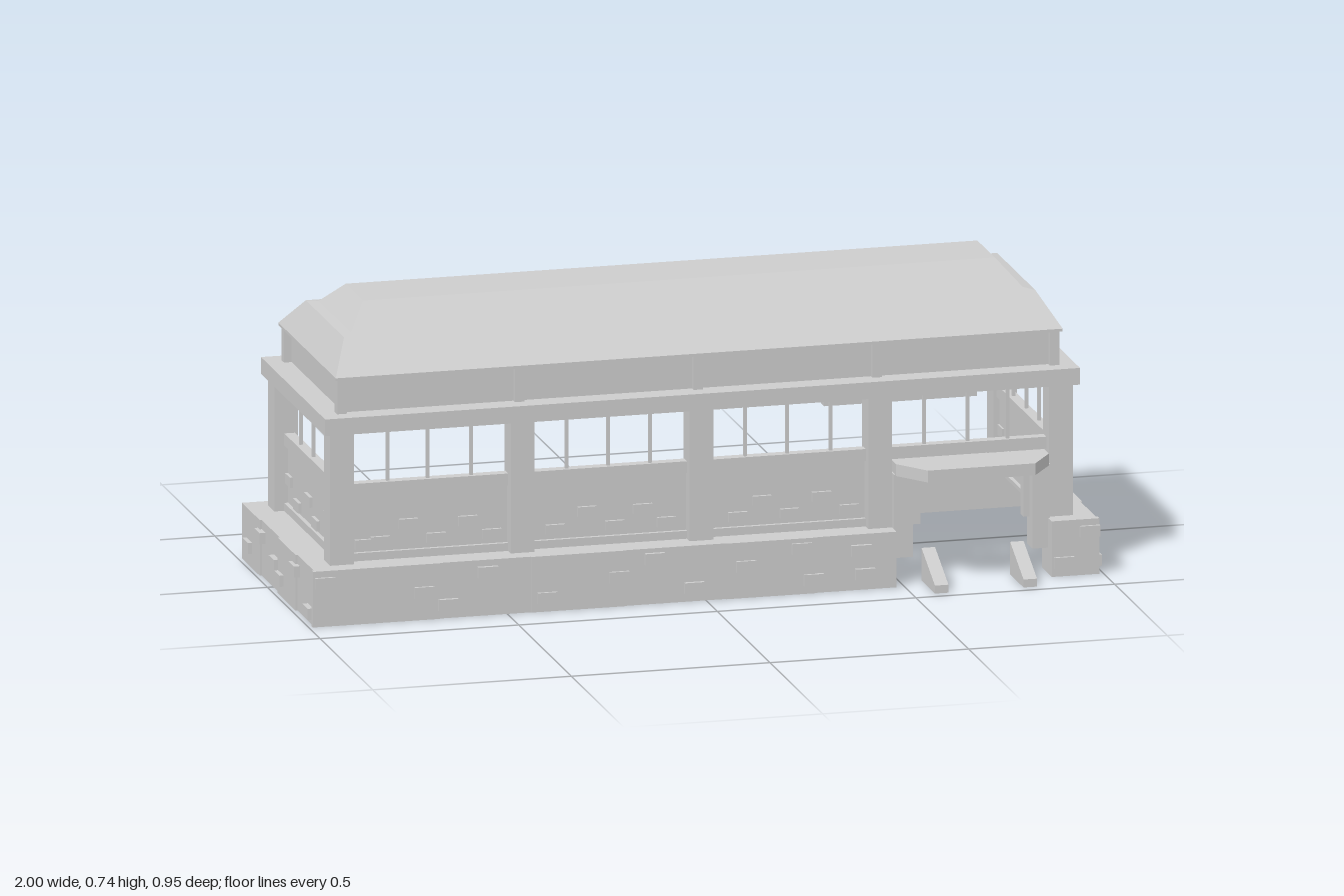
import * as THREE from 'three';

const stone = new THREE.MeshStandardMaterial({ color: 0xcccccc, side: THREE.DoubleSide });
stone.name = 'pale grey';

export function createModel() {
  const model = new THREE.Group();
  model.name = 'pavilion';

  const add = (name, geo, parent = model) => {
    const mesh = new THREE.Mesh(geo, stone);
    mesh.name = name;
    parent.add(mesh);
    return mesh;
  };
  // Box given by its limits on each axis
  const box = (name, x0, x1, y0, y1, z0, z1, parent) => {
    const geo = new THREE.BoxGeometry(x1 - x0, y1 - y0, z1 - z0);
    geo.translate((x0 + x1) / 2, (y0 + y1) / 2, (z0 + z1) / 2);
    return add(name, geo, parent);
  };
  // Hollow shell through rectangular rings [halfX, y, zBack, zFront], closed at the top
  const shell = (name, rings) => {
    const corners = rings.map(([hx, y, zb, zf]) => [[-hx, y, zf], [hx, y, zf], [hx, y, zb], [-hx, y, zb]]);
    const pos = [];
    const quad = (a, b, c, d) => pos.push(...a, ...b, ...c, ...a, ...c, ...d);
    for (let i = 0; i + 1 < corners.length; i++) {
      for (let k = 0; k < 4; k++) {
        const n = (k + 1) % 4;
        quad(corners[i][k], corners[i][n], corners[i + 1][n], corners[i + 1][k]);
      }
    }
    quad(...corners[corners.length - 1]);
    const geo = new THREE.BufferGeometry();
    geo.setAttribute('position', new THREE.Float32BufferAttribute(pos, 3));
    geo.computeVertexNormals();
    return add(name, geo);
  };

  // Base: thin outer walls with a ledge, open underneath
  const base = new THREE.Group();
  base.name = 'base';
  model.add(base);
  const frontSeams = [-0.99, -0.67, -0.44, -0.2, 0.05, 0.28, 0.48];
  for (let i = 0; i < 6; i++) {
    box('frontBaseStone', frontSeams[i], frontSeams[i + 1], 0, 0.14, 0.38, 0.395 - (i % 2) * 0.003, base);
  }
  box('frontBaseCorner', 0.87, 0.99, 0, 0.14, 0.38, 0.395, base);
  box('frontLedge', -0.985, 0.48, 0.13, 0.14, 0.29, 0.39, base);
  box('frontCornerLedge', 0.87, 0.985, 0.13, 0.14, 0.29, 0.39, base);
  box('doorReturn', 0.47, 0.48, 0, 0.14, 0.3, 0.39, base);
  box('doorReturn', 0.87, 0.88, 0, 0.14, 0.3, 0.39, base);
  box('backBaseWall', -0.99, 0.99, 0, 0.14, -0.28, -0.27, base);
  box('backLedge', -0.985, 0.985, 0.13, 0.14, -0.275, -0.19, base);
  const endSeams = [-0.278, -0.11, 0.06, 0.23, 0.394];
  for (const s of [-1, 1]) {
    for (let i = 0; i < 4; i++) {
      const outer = 0.99 - (i % 2) * 0.005;
      const xs = [s * 0.975, s * outer].sort((a, b) => a - b);
      box('endBaseStone', xs[0], xs[1], 0, 0.14, endSeams[i], endSeams[i + 1], base);
    }
    const xs = [s * 0.875, s * 0.98].sort((a, b) => a - b);
    box('endLedge', xs[0], xs[1], 0.13, 0.14, -0.275, 0.39, base);
  }

  // Pillars: five in front, two at the back corners
  for (const x of [-0.905, -0.45, 0, 0.45, 0.905]) box('frontPillar', x - 0.03, x + 0.03, 0.14, 0.47, 0.29, 0.35);
  for (const x of [-0.905, 0.905]) box('backPillar', x - 0.03, x + 0.03, 0.14, 0.47, -0.24, -0.18);

  // Low walls, sills and window bars
  box('frontWall', -0.88, 0.45, 0.14, 0.305, 0.305, 0.315);
  box('frontSill', -0.88, 0.88, 0.305, 0.335, 0.298, 0.325);
  box('frontSkirting', -0.88, 0.45, 0.14, 0.16, 0.3, 0.325);
  for (const x of [-0.78, -0.68, -0.57, -0.33, -0.225, -0.12, 0.12, 0.225, 0.335, 0.57, 0.68, 0.78]) {
    box('frontWindowBar', x - 0.004, x + 0.004, 0.335, 0.475, 0.308, 0.316);
  }
  for (const s of [-1, 1]) {
    const span = (a, b) => [s * a, s * b].sort((p, q) => p - q);
    box('endWall', ...span(0.89, 0.9), 0.14, 0.305, -0.18, 0.29);
    box('endSill', ...span(0.883, 0.91), 0.305, 0.335, -0.18, 0.29);
    box('endSkirting', ...span(0.885, 0.91), 0.14, 0.16, -0.18, 0.29);
    for (const z of [-0.07, 0.05, 0.17]) {
      box('endWindowBar', ...span(0.893, 0.901), 0.335, 0.475, z - 0.004, z + 0.004);
    }
  }

  // Scattered raised bricks
  const bricks = new THREE.Group();
  bricks.name = 'bricks';
  model.add(bricks);
  const frontBase = [[-0.96, 0.11], [-0.71, 0.07], [-0.65, 0.035], [-0.55, 0.11], [-0.4, 0.035], [-0.22, 0.075],
    [-0.13, 0.115], [-0.03, 0.035], [0.1, 0.08], [0.24, 0.115], [0.27, 0.035], [0.39, 0.1], [0.4, 0.04],
    [0.9, 0.035], [0.965, 0.11]];
  for (const [x, y] of frontBase) box('baseBrick', x - 0.025, x + 0.025, y - 0.014, y + 0.014, 0.385, 0.402, bricks);
  const frontWall = [[-0.84, 0.18], [-0.8, 0.185], [-0.73, 0.225], [-0.66, 0.185], [-0.58, 0.222], [-0.52, 0.185],
    [-0.36, 0.185], [-0.28, 0.225], [-0.21, 0.185], [-0.14, 0.222], [-0.08, 0.185],
    [0.1, 0.185], [0.16, 0.222], [0.23, 0.185], [0.31, 0.222], [0.38, 0.185]];
  for (const [x, y] of frontWall) box('wallBrick', x - 0.024, x + 0.024, y - 0.012, y + 0.012, 0.3, 0.323, bricks);
  const endBase = [[0.225, 0.103], [0.355, 0.03], [0.09, 0.045], [0.035, 0.07], [-0.1, 0.103], [-0.21, 0.05]];
  const endWall = [[0.21, 0.222], [0.095, 0.178], [0.025, 0.22], [-0.08, 0.178], [-0.16, 0.222]];
  for (const s of [-1, 1]) {
    const span = (a, b) => [s * a, s * b].sort((p, q) => p - q);
    for (const [z, y] of endBase) box('baseBrick', ...span(0.98, 1), y - 0.014, y + 0.014, z - 0.026, z + 0.026, bricks);
    for (const [z, y] of endWall) box('wallBrick', ...span(0.885, 0.908), y - 0.013, y + 0.013, z - 0.026, z + 0.026, bricks);
  }

  // Eave: a rectangular ring
  const rect = (shape, hx, a, b) => {
    shape.moveTo(-hx, a);
    shape.lineTo(hx, a);
    shape.lineTo(hx, b);
    shape.lineTo(-hx, b);
    shape.closePath();
    return shape;
  };
  const ring = rect(new THREE.Shape(), 0.95, -0.36, 0.25);
  ring.holes.push(rect(new THREE.Path(), 0.87, -0.285, 0.175));
  const eave = add('eave', new THREE.ExtrudeGeometry(ring, { depth: 0.042, bevelEnabled: false }));
  eave.rotation.x = -Math.PI / 2;
  eave.position.y = 0.47;

  // Upper wall band with posts
  for (const [z0, z1] of [[0.295, 0.305], [-0.195, -0.185]]) box('upperWall', -0.89, 0.89, 0.51, 0.605, z0, z1);
  for (const [x0, x1] of [[-0.89, -0.88], [0.88, 0.89]]) box('upperEndWall', x0, x1, 0.51, 0.605, -0.19, 0.3);
  for (const x of [-0.897, -0.45, 0, 0.45, 0.897]) {
    box('upperFrontPost', x - 0.012, x + 0.012, 0.51, 0.605, 0.295, 0.32);
    box('upperBackPost', x - 0.012, x + 0.012, 0.51, 0.605, -0.21, -0.185);
  }

  // Two-tier hipped roof
  shell('roof', [
    [0.89, 0.6, -0.195, 0.305], [0.915, 0.598, -0.217, 0.328], [0.915, 0.605, -0.217, 0.328],
    [0.87, 0.682, -0.125, 0.237], [0.845, 0.685, -0.1, 0.21], [0.795, 0.743, -0.03, 0.135],
  ]);

  // Tapered canopies over both doors
  const canopy = (name, zWall, zMid, zTip, y) => {
    const shape = new THREE.Shape();
    const pts = [[0.485, zWall], [0.485, zMid], [0.545, zTip], [0.815, zTip], [0.87, zMid], [0.87, zWall]];
    shape.setFromPoints(pts.map(([x, z]) => new THREE.Vector2(x, -z)));
    const mesh = add(name, new THREE.ExtrudeGeometry(shape, { depth: 0.03, bevelEnabled: false }));
    mesh.rotation.x = -Math.PI / 2;
    mesh.position.y = y;
  };
  canopy('frontCanopy', 0.32, 0.365, 0.445, 0.273);
  canopy('backCanopy', -0.315, -0.345, -0.442, 0.273);

  // Front door frame
  for (const [x0, x1, in0, in1] of [[0.482, 0.53, 0.53, 0.555], [0.83, 0.875, 0.815, 0.83]]) {
    box('doorPost', x0, x1, 0.065, 0.275, 0.31, 0.36);
    box('doorJamb', in0, in1, 0.14, 0.275, 0.305, 0.335);
  }
  box('doorLintel', 0.482, 0.875, 0.25, 0.275, 0.305, 0.345);

  // Sloping stair cheeks; treads at the back
  const cheek = (name, x, zWall, zTip) => {
    const shape = new THREE.Shape();
    shape.setFromPoints([[zWall, 0], [zTip, 0], [zTip, 0.02], [zWall, 0.082]].map(([z, y]) => new THREE.Vector2(-z, y)));
    const mesh = add(name, new THREE.ExtrudeGeometry(shape, { depth: 0.034, bevelEnabled: false }));
    mesh.rotation.y = Math.PI / 2;
    mesh.position.x = x;
  };
  for (const x of [0.555, 0.778]) {
    cheek('frontStairCheek', x, 0.345, 0.473);
    cheek('backStairCheek', x, -0.345, -0.473);
  }
  for (let i = 0; i < 3; i++) {
    const z = -0.465 + i * 0.04;
    box('backStairTread', 0.585, 0.782, 0.012 + i * 0.02, 0.02 + i * 0.02, z, z + 0.036);
  }

  return model;
}
